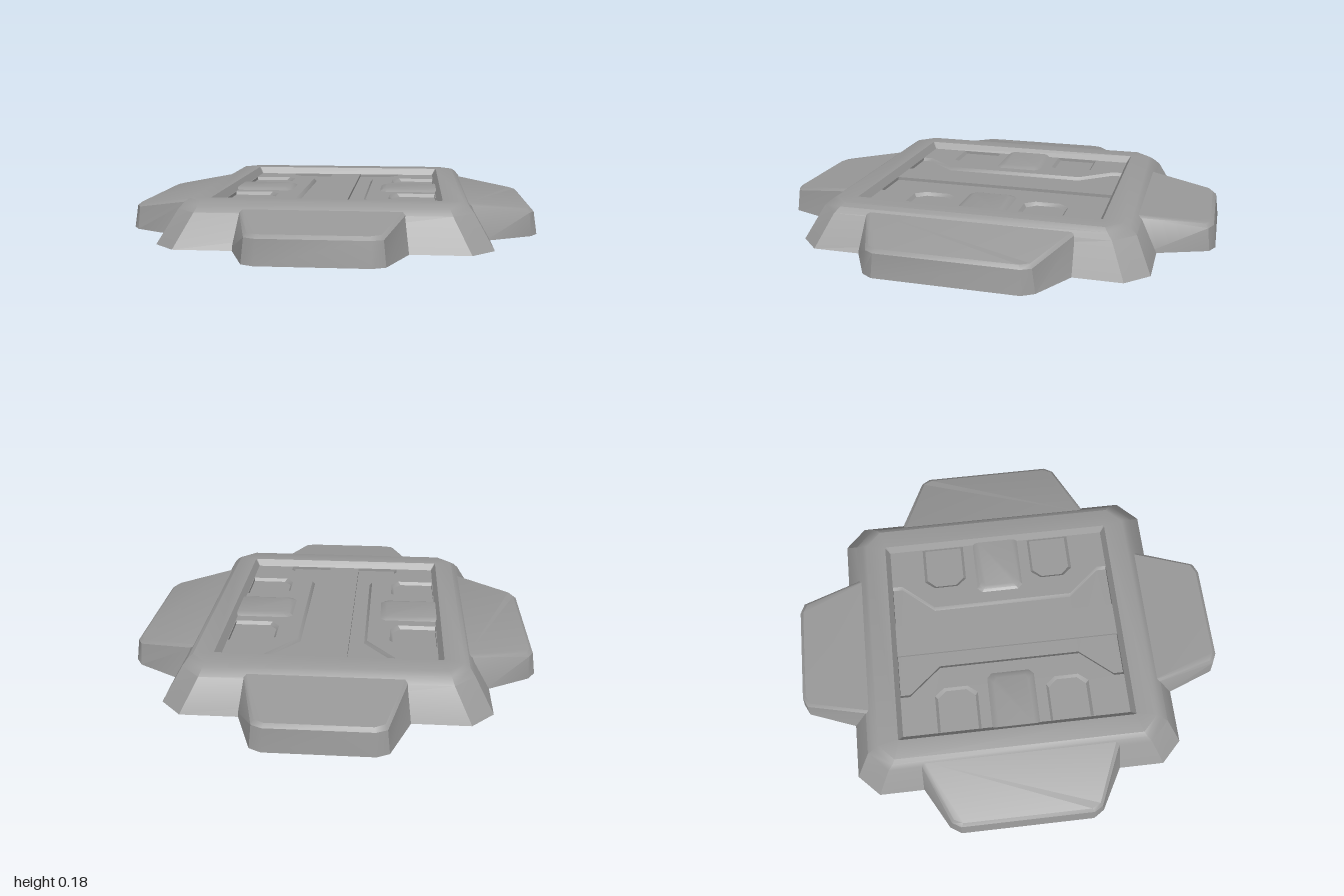
import * as THREE from 'three';
import { toCreasedNormals } from 'three/addons/utils/BufferGeometryUtils.js';

const grey = new THREE.MeshStandardMaterial({ color: 0x999999, side: THREE.DoubleSide });

// Skin through rings of [x, y, z], ordered from outside to inside; a convex last ring can be capped.
function loft(rings, { closed = true, cap = false, crease = 0.55 } = {}) {
  const n = rings[0].length;
  let area = 0;
  rings[0].forEach((p, i) => {
    const q = rings[0][(i + 1) % n];
    area += p[2] * q[0] - p[0] * q[2];
  });
  const ordered = area < 0 ? rings.map(r => [...r].reverse()) : rings;
  const index = [];
  for (let r = 0; r < rings.length - 1; r++) {
    for (let i = 0; i < (closed ? n : n - 1); i++) {
      const a = r * n + i, b = r * n + (i + 1) % n;
      index.push(a, b, b + n, a, b + n, a + n);
    }
  }
  const last = (rings.length - 1) * n;
  if (cap) for (let i = 1; i < n - 1; i++) index.push(last, last + i, last + i + 1);
  const g = new THREE.BufferGeometry();
  g.setAttribute('position', new THREE.Float32BufferAttribute(ordered.flat(2), 3));
  g.setIndex(index);
  return toCreasedNormals(g, crease);
}

// Flat horizontal sheet with holes; outlines are [x, z].
function sheet(outline, y, holes = []) {
  const vec = pts => pts.map(([x, z]) => new THREE.Vector2(x, -z));
  const shape = new THREE.Shape(vec(outline));
  holes.forEach(h => shape.holes.push(new THREE.Path(vec(h))));
  return new THREE.ShapeGeometry(shape).rotateX(-Math.PI / 2).translate(0, y, 0);
}

const at = (pts, y) => pts.map(([x, z]) => [x, y, z]);
const octagon = (hx, hz, c) => [
  [hx, hz - c], [hx - c, hz], [c - hx, hz], [-hx, hz - c],
  [-hx, c - hz], [c - hx, -hz], [hx - c, -hz], [hx, c - hz]];

export function createModel() {
  const group = new THREE.Group();
  const add = (name, geometry) => {
    const mesh = new THREE.Mesh(geometry, grey);
    mesh.name = name;
    group.add(mesh);
    return mesh;
  };
  const TOP = 0.18, PLATE = 0.148, FLOOR = 0.134;

  // Chamfered frame: outer slope, rounded shoulder, flat rim and recess wall
  add('frame', loft([
    [0.69, 0.76, 0.095, 0], [0.61, 0.69, 0.088, 0.14], [0.59, 0.66, 0.08, 0.166],
    [0.57, 0.637, 0.07, TOP], [0.485, 0.545, 0.004, TOP], [0.465, 0.525, 0.002, PLATE],
  ].map(([hx, hz, c, y]) => at(octagon(hx, hz, c), y))));

  // Sloping arms; each row is half a section as [across, outward, y]
  const arms = {
    frontArm: [
      [[0.37, 0.71, 0], [0.27, 0.975, 0], [0.22, 1.0, 0]],
      [[0.34, 0.665, 0.146], [0.26, 0.965, 0.1], [0.215, 0.986, 0.1]],
      [[0.33, 0.65, 0.157], [0.25, 0.95, 0.116], [0.21, 0.97, 0.114]]],
    sideArm: [
      [[0.47, 0.67, 0], [0.355, 0.873, 0], [0.305, 0.905, 0]],
      [[0.45, 0.61, 0.146], [0.34, 0.867, 0.1], [0.3, 0.89, 0.1]],
      [[0.44, 0.59, 0.157], [0.33, 0.855, 0.116], [0.29, 0.875, 0.114]]],
  };
  for (const s of [1, -1]) {
    for (const [name, half] of Object.entries(arms)) {
      const rings = half.map(h => [...h, ...[...h].reverse().map(([u, d, y]) => [-u, d, y])]
        .map(([u, d, y]) => name === 'frontArm' ? [u, y, s * d] : [s * d, y, u]));
      const label = name === 'frontArm' ? (s > 0 ? 'frontArm' : 'backArm') : (s > 0 ? 'leftArm' : 'rightArm');
      add(label, loft(rings, { closed: false, cap: true }));
    }
  }

  // Sunken waisted centre with a straight rail standing slightly proud of it
  const waist = inset => {
    const half = [[0.28, -0.525], [0.28, -0.48], [0.155, -0.33], [0.155, 0.33], [0.28, 0.48], [0.28, 0.525]]
      .map(([x, z]) => [x - inset, z]);
    return [...half, ...[...half].reverse().map(([x, z]) => [-x, z])];
  };
  add('centreStep', loft([at(waist(0), PLATE), at(waist(0.013), FLOOR)]));
  add('centreFloor', sheet(waist(0.013), FLOOR));
  add('centreRail', new THREE.BoxGeometry(0.152, 0.076, 1.05)).position.y = 0.11;

  // Side plates, each with two clipped pockets and a raised pad
  const pocket = (s, zc, e) => [
    [-0.462, -0.1], [-0.29, -0.1], [-0.255, -0.055], [-0.255, 0.055], [-0.29, 0.1], [-0.462, 0.1],
  ].map(([x, z]) => [-s * (x < -0.4 ? x : x - e), zc + z * (1 - e * 10)]);
  const pad = (s, e) => [
    [0.47, -0.11], [0.23, -0.11], [0.208, -0.088], [0.208, 0.088], [0.23, 0.11], [0.47, 0.11],
  ].map(([x, z]) => [s * (x > 0.4 ? x : x + e), z * (1 - e * 9) - 0.005]);
  for (const s of [1, -1]) {
    const side = s > 0 ? 'left' : 'right';
    const outline = [[0.465, -0.525], ...waist(0).slice(0, 6), [0.465, 0.525]].map(([x, z]) => [s * x, z]);
    const centres = [-0.265, 0.255];
    add(side + 'Plate', sheet(outline, PLATE, centres.map(z => pocket(s, z, 0))));
    for (const z of centres) {
      add(side + 'Pocket', loft([at(pocket(s, z, 0), PLATE), at(pocket(s, z, 0.012), FLOOR)], { cap: true }));
    }
    // The right pad is softly rounded, the left one crisp
    add(side + 'Pad', loft([at(pad(s, 0), PLATE), at(pad(s, 0.012), 0.156), at(pad(s, 0.028), 0.161)],
      { cap: true, crease: s > 0 ? 0.4 : 1.2 }));
  }
  return group;
}
